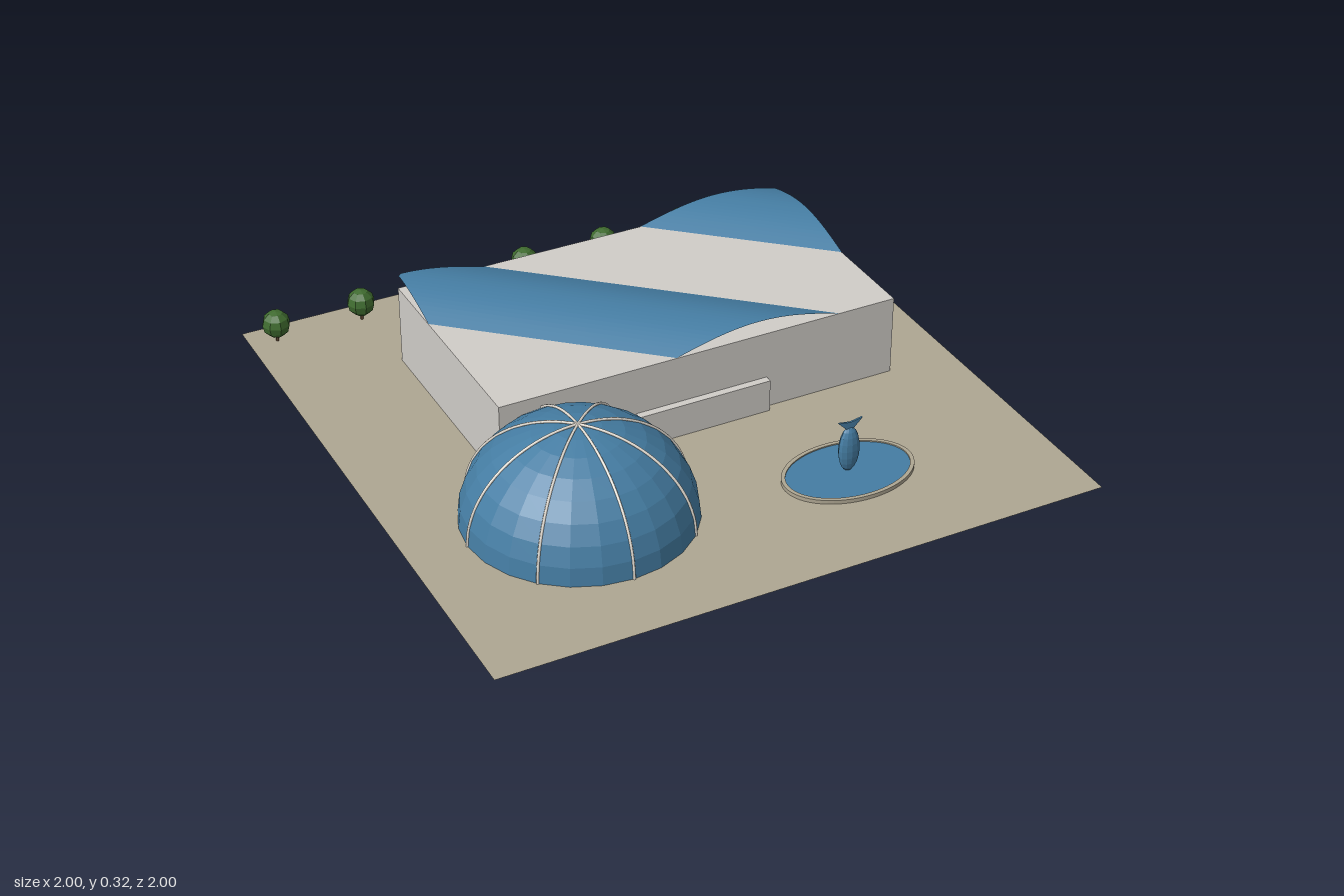
import * as THREE from 'three';

const paint = (name, color, opts = {}) => {
  const m = new THREE.MeshStandardMaterial({ color, ...opts });
  m.name = name;
  return m;
};

export function createModel() {
  const group = new THREE.Group();
  const both = { side: THREE.DoubleSide };
  const paving = paint('paving', 0xaea692, both);
  const concrete = paint('concrete', 0xd0cdc8);
  const blue = paint('blue', 0x457da3, { ...both, flatShading: true });
  const ribWhite = paint('rib white', 0xe2dcd2);
  const leaf = paint('leaf green', 0x3f6b2f, { flatShading: true });
  const bark = paint('bark brown', 0x5c4631);

  const add = (name, geo, mat, x = 0, y = 0, z = 0, parent = group) => {
    const mesh = new THREE.Mesh(geo, mat);
    mesh.name = name;
    mesh.position.set(x, y, z);
    parent.add(mesh);
    return mesh;
  };

  // Ground sheet
  add('ground', new THREE.PlaneGeometry(2, 2).rotateX(-Math.PI / 2), paving, 0, 0.002, 0);

  // Main hall and its low entrance block
  const X0 = -0.595, X1 = 0.77, Z0 = -0.615, Z1 = 0.155, H = 0.272;
  add('hall', new THREE.BoxGeometry(X1 - X0, H, Z1 - Z0), concrete, (X0 + X1) / 2, H / 2, (Z0 + Z1) / 2);
  add('entrance', new THREE.BoxGeometry(0.455, 0.112, 0.03), concrete, 0.088, 0.056, 0.165);

  // Diagonal roof vaults: arched sheets trimmed to the hall outline
  const W = 0.57, slope = 0.885;
  const vault = (start, uEnd) => {
    const N = 24, M = 10, pos = [], index = [];
    for (let i = 0; i <= N; i++) {
      const u = (uEnd * i) / N;
      const zAt = x => Z1 + (x - start - u) * slope;
      const lo = Math.max(Z0, zAt(X0)), hi = Math.min(Z1, zAt(X1));
      for (let j = 0; j <= M; j++) {
        const z = lo + ((hi - lo) * j) / M;
        pos.push(start + u + (z - Z1) / slope, H + 0.001 + 0.05 * Math.sin((Math.PI * u) / W), z);
        if (i < N && j < M) {
          const a = i * (M + 1) + j, b = a + M + 1;
          index.push(a, a + 1, b, b, a + 1, b + 1);
        }
      }
    }
    const g = new THREE.BufferGeometry();
    g.setAttribute('position', new THREE.Float32BufferAttribute(pos, 3));
    g.setIndex(index);
    g.computeVertexNormals();
    return g;
  };
  add('longRoofVault', vault(0, W), blue);
  add('cornerRoofVault', vault(1.135, 0.504), blue);

  // Flattened dome with eight meridian ribs
  const R = 0.362, DH = 0.318;
  const dome = new THREE.Group();
  dome.name = 'dome';
  dome.position.set(-0.455, 0, 0.405);
  group.add(dome);
  const shell = new THREE.SphereGeometry(R, 24, 8, 0, Math.PI * 2, 0, Math.PI / 2);
  add('domeShell', shell.scale(1, DH / R, 1), blue, 0, 0, 0, dome);
  const arc = [];
  for (let i = 0; i <= 16; i++) {
    const a = (i / 16) * Math.PI / 2;
    arc.push(new THREE.Vector3(R * Math.cos(a), 0.002 + DH * Math.sin(a), 0));
  }
  const rib = new THREE.TubeGeometry(new THREE.CatmullRomCurve3(arc), 24, 0.0045, 6);
  for (let i = 0; i < 8; i++) {
    add('domeRib', rib, ribWhite, 0, 0, 0, dome).rotation.y = (i * Math.PI) / 4;
  }

  // Oval pool: raised rim with water inside
  const pool = new THREE.Group();
  pool.name = 'pool';
  pool.position.set(0.36, 0, 0.585);
  group.add(pool);
  const rimShape = new THREE.Shape().absellipse(0, 0, 0.217, 0.149, 0, Math.PI * 2);
  rimShape.holes.push(new THREE.Path().absellipse(0, 0, 0.204, 0.136, 0, Math.PI * 2));
  const rim = new THREE.ExtrudeGeometry(rimShape, { depth: 0.014, bevelEnabled: false, curveSegments: 32 });
  add('poolRim', rim.rotateX(-Math.PI / 2), paving, 0, 0.001, 0, pool);
  const water = new THREE.CircleGeometry(1, 48).rotateX(-Math.PI / 2).scale(0.205, 1, 0.137);
  add('water', water, blue, 0, 0.011, 0, pool);

  // Upright fish sculpture: flattened body and forked tail
  const body = new THREE.SphereGeometry(1, 12, 10).scale(0.036, 0.078, 0.022);
  add('fishBody', body, blue, 0, 0.09, 0, pool);
  const tail = new THREE.Shape([[0, 0.15], [0.042, 0.193], [0, 0.186], [-0.042, 0.193]]
    .map(p => new THREE.Vector2(...p)));
  const tailGeo = new THREE.ExtrudeGeometry(tail, { depth: 0.006, bevelEnabled: false });
  add('fishTail', tailGeo, blue, 0, 0, -0.003, pool);

  // Row of clipped trees along the back
  const crown = new THREE.SphereGeometry(0.047, 8, 6);
  const trunk = new THREE.CylinderGeometry(0.004, 0.005, 0.04, 6);
  for (let i = 0; i < 7; i++) {
    const x = -0.91 + i * 0.2955;
    add('treeTrunk', trunk, bark, x, 0.02, -0.91);
    add('treeCrown', crown, leaf, x, 0.067, -0.91);
  }
  return group;
}
